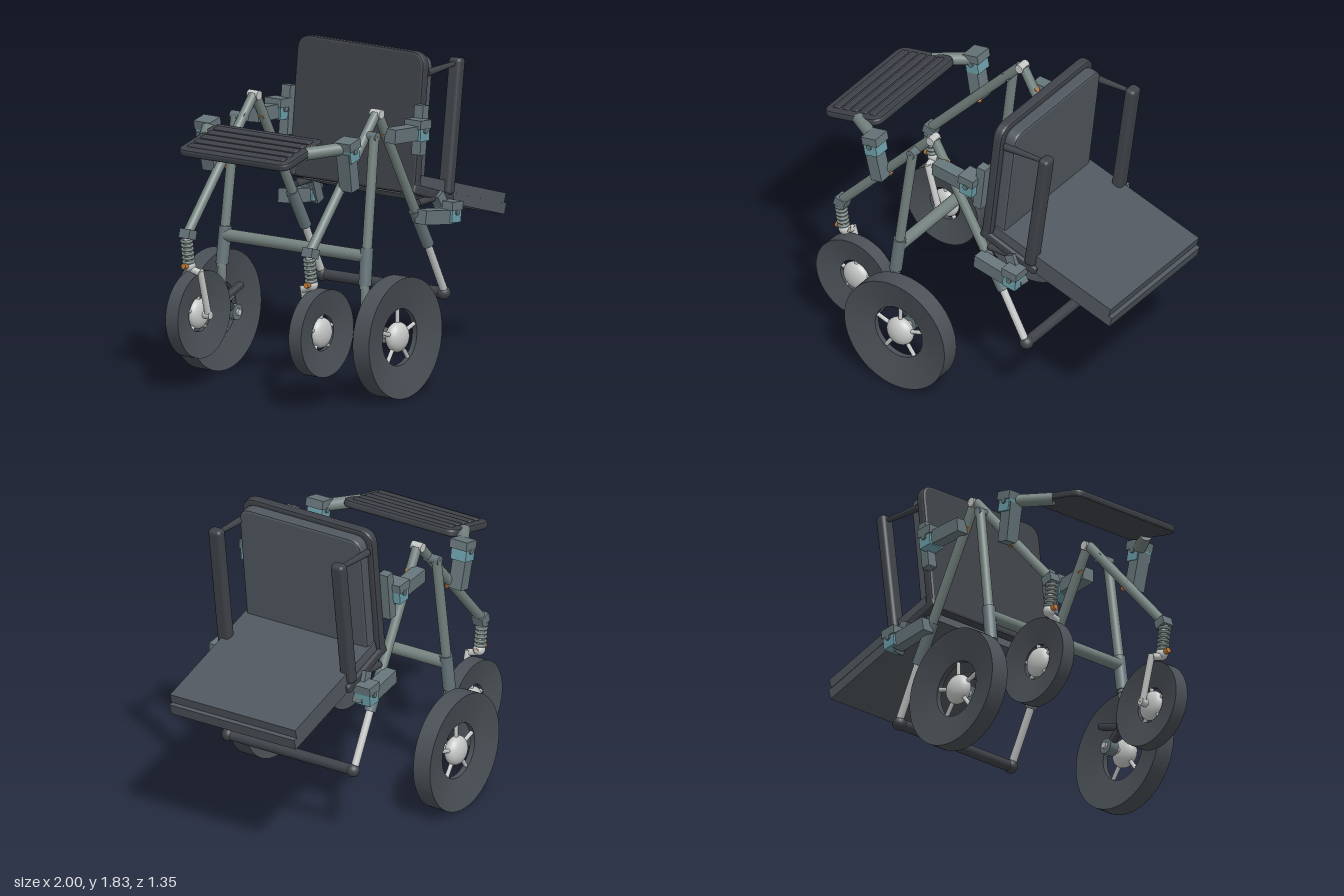
import * as THREE from 'three';
import { toCreasedNormals } from 'three/addons/utils/BufferGeometryUtils.js';
import { RoundedBoxGeometry } from 'three/addons/geometries/RoundedBoxGeometry.js';

const paint = (name, color) => {
  const m = new THREE.MeshStandardMaterial({ color });
  m.name = name;
  return m;
};

export function createModel() {
  const model = new THREE.Group();
  model.name = 'wheelchair';
  const pad = paint('pad charcoal', 0x50575e);
  const dark = paint('dark plastic', 0x3e4248);
  const rubber = paint('tyre rubber', 0x4a5056);
  const frame = paint('frame grey green', 0x74827f);
  const clamp = paint('clamp grey', 0x66757a);
  const teal = paint('joint teal', 0x6c9da8);
  const light = paint('light metal', 0xc6c8c8);
  const orange = paint('screw orange', 0xc47a38);

  const V = (p) => new THREE.Vector3(...p);
  const add = (name, geo, mat, p = [0, 0, 0]) => {
    const m = new THREE.Mesh(geo, mat);
    m.name = name;
    m.position.set(...p);
    model.add(m);
    return m;
  };
  // Points a mesh's y axis from a to b
  const span = (mesh, a, b) => {
    const A = V(a), B = V(b);
    mesh.position.copy(A).add(B).multiplyScalar(0.5);
    mesh.quaternion.setFromUnitVectors(new THREE.Vector3(0, 1, 0), B.sub(A).normalize());
    return mesh;
  };
  const rod = (name, a, b, r, mat, r2 = r) =>
    span(add(name, new THREE.CylinderGeometry(r2, r, V(a).distanceTo(V(b)), 20), mat), a, b);
  const beam = (name, a, b, w, d, mat, round = 0) => {
    const h = V(a).distanceTo(V(b));
    const geo = round ? new RoundedBoxGeometry(w, h, d, 3, round) : new THREE.BoxGeometry(w, h, d);
    return span(add(name, geo, mat), a, b);
  };
  const ball = (name, p, r, mat) => add(name, new THREE.SphereGeometry(r, 20, 14), mat, p);

  // Rounded panel, width along x, height along y, thickness along z, centred
  const panelGeo = (w, h, t, rTop, rBottom, bevel) => {
    const s = new THREE.Shape(), x = w / 2, y = h / 2;
    s.moveTo(-x + rBottom, -y).lineTo(x - rBottom, -y).quadraticCurveTo(x, -y, x, -y + rBottom);
    s.lineTo(x, y - rTop).quadraticCurveTo(x, y, x - rTop, y).lineTo(-x + rTop, y);
    s.quadraticCurveTo(-x, y, -x, y - rTop).lineTo(-x, -y + rBottom).quadraticCurveTo(-x, -y, -x + rBottom, -y);
    const g = new THREE.ExtrudeGeometry(s, {
      depth: t - 2 * bevel, bevelThickness: bevel, bevelSize: bevel, bevelOffset: -bevel,
      bevelSegments: 2, curveSegments: 8,
    });
    return g.translate(0, 0, bevel - t / 2);
  };

  // Backrest shell and cushion, leaning towards the seat
  const lean = -0.115;
  add('backrestShell', panelGeo(0.87, 0.79, 0.06, 0.09, 0.02, 0.015).rotateY(Math.PI / 2).rotateZ(lean),
    dark, [0.195, 1.44, 0]);
  add('backrestCushion', panelGeo(0.81, 0.72, 0.075, 0.08, 0.02, 0.015).rotateY(Math.PI / 2).rotateZ(lean),
    pad, [0.262, 1.443, 0]);

  // Seat in two layers
  beam('seatCushion', [0.2, 1.117, 0], [0.985, 0.881, 0], 0.058, 0.835, pad);
  beam('seatBase', [0.21, 1.055, 0], [0.992, 0.82, 0], 0.064, 0.83, pad);

  // Rear tray with raised ribs
  const tray = new THREE.Group();
  tray.name = 'tray';
  tray.position.set(-0.81, 1.423, 0);
  tray.rotation.z = 0.22;
  const slab = new THREE.Mesh(panelGeo(0.385, 0.75, 0.045, 0.06, 0.06, 0.014).rotateX(-Math.PI / 2), dark);
  slab.name = 'traySlab';
  tray.add(slab);
  for (let i = -2; i <= 2; i++) {
    const rib = new THREE.Mesh(new RoundedBoxGeometry(0.045, 0.02, 0.66, 2, 0.009), dark);
    rib.name = 'trayRib';
    rib.position.set(i * 0.062, 0.022, 0);
    tray.add(rib);
  }
  model.add(tray);

  // Wheel: dished tyre, hub and spokes
  const wheel = (name, x, y, z, R, ri, w, hubR, hubZ) => {
    const g = new THREE.Group();
    g.name = name;
    g.position.set(x, y, z);
    const h = w / 2, t = w * 0.14;
    const profile = [[ri, -t], [R, -h], [R, h], [ri, t], [ri, -t]].map((p) => new THREE.Vector2(...p));
    const tyre = new THREE.Mesh(toCreasedNormals(new THREE.LatheGeometry(profile, 56).rotateX(Math.PI / 2), 0.6), rubber);
    tyre.name = 'tyre';
    const hub = new THREE.Mesh(new THREE.SphereGeometry(hubR, 28, 18).scale(1, 1, hubZ / hubR), light);
    hub.name = 'hub';
    g.add(tyre, hub);
    for (let i = 0; i < 5; i++) {
      const spoke = new THREE.Mesh(new THREE.CylinderGeometry(0.012, 0.012, ri + 0.01, 10), light);
      const a = Math.PI / 2 + (i * Math.PI * 2) / 5;
      spoke.name = 'spoke';
      spoke.position.set(Math.cos(a) * ri / 2, Math.sin(a) * ri / 2, 0);
      spoke.rotation.z = a - Math.PI / 2;
      g.add(spoke);
    }
    model.add(g);
  };

  // Teal swivel joint with a thin cover and a pin
  const joint = (x, y, z, s, tilt) => {
    add('joint', new THREE.BoxGeometry(0.085, 0.115, 0.1), teal, [x, y, z * s]).rotation.z = tilt;
    add('jointCover', new THREE.BoxGeometry(0.1, 0.05, 0.112), clamp, [x, y + 0.035, z * s]).rotation.z = tilt;
    rod('jointPin', [x, y, (z - 0.06) * s], [x, y, (z + 0.06) * s], 0.016, clamp);
  };

  for (const s of [1, -1]) {
    const P = (x, y, z) => [x, y, z * s];

    // Wheels
    wheel('mainWheel', -0.29, 0.345, 0.62 * s, 0.34, 0.16, 0.112, 0.085, 0.054);
    wheel('casterWheel', -0.73, 0.42, 0.422 * s, 0.245, 0.1, 0.085, 0.085, 0.045);

    // Frame tubes meeting at the apex
    rod('rearTube', P(-0.83, 0.89, 0.42), P(-0.22, 1.565, 0.42), 0.028, frame);
    rod('frontTube', P(-0.2, 1.565, 0.42), P(0.16, 0.93, 0.42), 0.028, frame);
    rod('frontSleeve', P(0.14, 0.96, 0.42), P(0.265, 0.745, 0.42), 0.034, clamp);
    rod('footTube', P(0.26, 0.75, 0.42), P(0.42, 0.45, 0.42), 0.022, light);
    rod('apexPin', P(-0.21, 1.565, 0.385), P(-0.21, 1.565, 0.455), 0.026, light);
    rod('mainLeg', P(-0.31, 1.46, 0.475), P(-0.42, 0.62, 0.49), 0.028, frame);
    rod('legCollar', P(-0.39, 0.85, 0.485), P(-0.415, 0.64, 0.49), 0.036, clamp);
    rod('legFoot', P(-0.415, 0.65, 0.49), P(-0.42, 0.42, 0.495), 0.026, frame);
    rod('legPivot', P(-0.31, 1.46, 0.4), P(-0.31, 1.46, 0.5), 0.026, clamp);

    // Axle arm of the main wheel
    ball('armPivot', P(-0.41, 0.43, 0.5), 0.042, dark);
    beam('axleArm', P(-0.42, 0.42, 0.5), P(-0.22, 0.49, 0.5), 0.035, 0.045, dark, 0.012);
    beam('axleLink', P(-0.4, 0.44, 0.5), P(-0.29, 0.345, 0.5), 0.04, 0.04, dark, 0.012);
    rod('axleHousing', P(-0.29, 0.345, 0.475), P(-0.29, 0.345, 0.535), 0.045, clamp);
    rod('axle', P(-0.29, 0.345, 0.46), P(-0.29, 0.345, 0.6), 0.018, light);

    // Caster suspension and one-sided fork
    beam('springBracket', P(-0.835, 0.86, 0.42), P(-0.82, 0.91, 0.42), 0.07, 0.07, clamp);
    rod('springCore', P(-0.84, 0.88, 0.42), P(-0.815, 0.7, 0.42), 0.02, light);
    for (let i = 0; i < 6; i++) {
      const k = i / 5;
      const coil = add('springCoil', new THREE.TorusGeometry(0.028, 0.009, 8, 18).rotateX(Math.PI / 2),
        frame, P(-0.838 + 0.018 * k, 0.85 - 0.12 * k, 0.42));
      coil.rotation.z = 0.14;
    }
    ball('springFoot', P(-0.812, 0.705, 0.42), 0.035, light);
    rod('springScrew', P(-0.87, 0.71, 0.42), P(-0.78, 0.705, 0.42), 0.016, orange);
    rod('forkTop', P(-0.812, 0.69, 0.42), P(-0.805, 0.67, 0.352), 0.02, light);
    rod('fork', P(-0.805, 0.685, 0.352), P(-0.73, 0.42, 0.352), 0.019, light);
    rod('casterAxle', P(-0.73, 0.42, 0.335), P(-0.73, 0.42, 0.42), 0.022, light);

    // Tray bracket
    beam('trayPost', P(-0.53, 1.2, 0.47), P(-0.575, 1.42, 0.48), 0.075, 0.085, clamp);
    joint(-0.565, 1.425, 0.48, s, 0.2);
    rod('trayArm', P(-0.57, 1.44, 0.47), P(-0.77, 1.425, 0.345), 0.036, frame);
    rod('trayScrew', P(-0.55, 1.235, 0.42), P(-0.49, 1.21, 0.42), 0.014, orange);

    // Backrest bracket
    beam('backrestArm', P(-0.155, 1.435, 0.47), P(0.08, 1.42, 0.48), 0.08, 0.075, clamp);
    joint(0.09, 1.43, 0.48, s, -0.08);
    beam('backrestPlate', P(0.13, 1.28, 0.455), P(0.16, 1.555, 0.455), 0.055, 0.06, clamp);
    rod('backrestScrew', P(-0.15, 1.425, 0.42), P(-0.11, 1.46, 0.42), 0.018, orange);

    // Seat bracket
    beam('seatArm', P(0.13, 0.93, 0.47), P(0.37, 0.895, 0.48), 0.08, 0.075, clamp);
    joint(0.385, 0.92, 0.48, s, -0.1);
    beam('seatMount', P(0.41, 0.86, 0.45), P(0.33, 1.02, 0.43), 0.06, 0.06, clamp);
    rod('seatPin', P(0.17, 0.995, 0.42), P(0.34, 1.0, 0.42), 0.02, dark);

    // Armrest post, side rail and tie rod
    beam('armrestPost', P(0.45, 0.995, 0.408), P(0.553, 1.75, 0.408), 0.065, 0.083, dark, 0.022);
    beam('armrestRail', P(0.12, 1.085, 0.41), P(0.49, 0.96, 0.41), 0.055, 0.055, dark, 0.015);
    rod('armrestTie', P(0.27, 1.71, 0.408), P(0.54, 1.72, 0.408), 0.022, dark, 0.012);

    ball('footBarEnd', P(0.42, 0.445, 0.415), 0.039, dark);
  }

  // Cross bars
  rod('crossBar', [-0.397, 0.8, -0.48], [-0.397, 0.8, 0.48], 0.035, frame);
  rod('footBar', [0.42, 0.445, -0.42], [0.42, 0.445, 0.42], 0.031, dark);

  return model;
}
